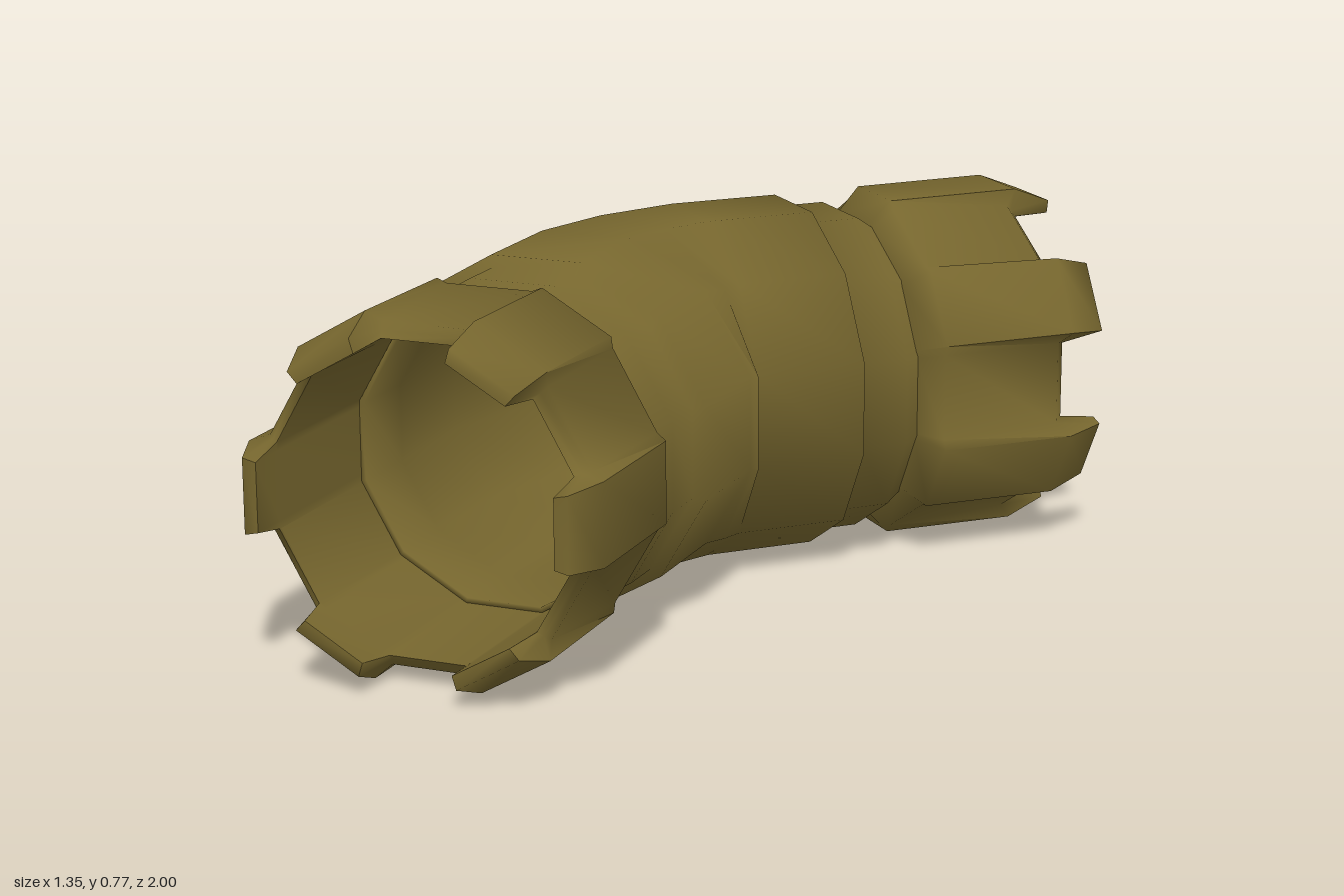
import * as THREE from 'three';
import { toCreasedNormals } from 'three/addons/utils/BufferGeometryUtils.js';

const rad = THREE.MathUtils.degToRad;

// Skin closed rings into a closed loop of rows (last row joins the first).
function loft(rings, crease) {
  const n = rings[0].length, pos = [], index = [];
  rings.forEach(ring => ring.forEach(p => pos.push(...p)));
  rings.forEach((_, i) => {
    const k = (i + 1) % rings.length;
    for (let j = 0; j < n; j++) {
      const m = (j + 1) % n;
      const a = i * n + j, b = i * n + m, c = k * n + m, d = k * n + j;
      index.push(a, b, c, a, c, d);
    }
  });
  const g = new THREE.BufferGeometry();
  g.setAttribute('position', new THREE.Float32BufferAttribute(pos, 3));
  g.setIndex(index);
  return toCreasedNormals(g.toNonIndexed(), crease);
}

// Castellated collar along +z: six ribs ending in teeth, recessed panels between.
function collarGeometry(turn) {
  // rows: [tooth z, tooth radius, panel z, panel radius]
  const rows = [
    [0, 0.33, 0, 0.328], [0.05, 0.385, 0.05, 0.368], [0.36, 0.387, 0.335, 0.354],
    [0.45, 0.352, 0.348, 0.34], [0.45, 0.322, 0.36, 0.326],
    [0.36, 0.324, 0.355, 0.325], [0, 0.326, 0, 0.326],
  ];
  const rings = rows.map(([tz, tr, pz, pr]) => {
    const ring = [];
    for (let k = 0; k < 6; k++) {
      for (const off of [-15.5, -12.7, 12.7, 15.5]) {
        const tooth = Math.abs(off) < 15;
        const r = tooth ? tr / Math.cos(rad(12.7)) : pr / Math.cos(rad(14.5));
        const a = rad(k * 60 + off + turn);
        ring.push([r * Math.cos(a), r * Math.sin(a), tooth ? tz : pz]);
      }
    }
    return ring;
  });
  return loft(rings, 1.25);
}

// Hollow twelve-sided elbow turning 45 degrees about a vertical pivot.
function elbowGeometry() {
  const px = 0.12, pz = 0.13, R = 0.41, cy = 0.385;
  // shift moves the ring from the pivot, pinch moves only its nearest side
  const ring = (bend, along, radius, shift = 0, pinch = 0) => {
    const c = Math.cos(rad(bend)), s = Math.sin(rad(bend));
    return Array.from({ length: 12 }, (_, j) => {
      const a = rad(15 + j * 30), r = radius / Math.cos(rad(15));
      const l = R + shift + r * Math.cos(a) + (Math.cos(a) < -0.9 ? pinch : 0);
      return [px - c * l + s * along, cy + r * Math.sin(a), pz - s * l - c * along];
    });
  };
  // neck steps: [distance from bend, radius]
  const neck = [[0.43, 0.325], [0.41, 0.325], [0.365, 0.355], [0.26, 0.355], [0.25, 0.38]];
  return loft([
    ...neck.map(([d, r]) => ring(0, -d, r)),
    ring(0, 0, 0.38), ring(22.5, 0, 0.38, -0.015), ring(45, 0, 0.38),
    ...[...neck].reverse().map(([d, r]) => ring(45, d, r)),
    // inner wall, pinched at the inside of the bend
    ring(45, 0.43, 0.314), ring(45, 0.27, 0.312), ring(45, 0, 0.318),
    ring(22.5, 0, 0.318, -0.015, 0.165),
    ring(0, 0, 0.318), ring(0, -0.27, 0.312), ring(0, -0.43, 0.314),
  ], 1.65);
}

export function createModel() {
  const group = new THREE.Group();
  group.name = 'pipeElbow';
  const olive = new THREE.MeshStandardMaterial({ color: 0x76662e });
  olive.name = 'olive brown';

  const add = (name, geometry) => {
    const mesh = new THREE.Mesh(geometry, olive);
    mesh.name = name;
    group.add(mesh);
    return mesh;
  };

  add('elbowPipe', elbowGeometry());

  add('frontCollar', collarGeometry(0)).position.set(-0.29, 0.385, 0.55);

  const rear = add('rearCollar', collarGeometry(30));
  rear.position.set(0.113, 0.386, -0.442);
  rear.rotation.y = rad(135);

  return group;
}
